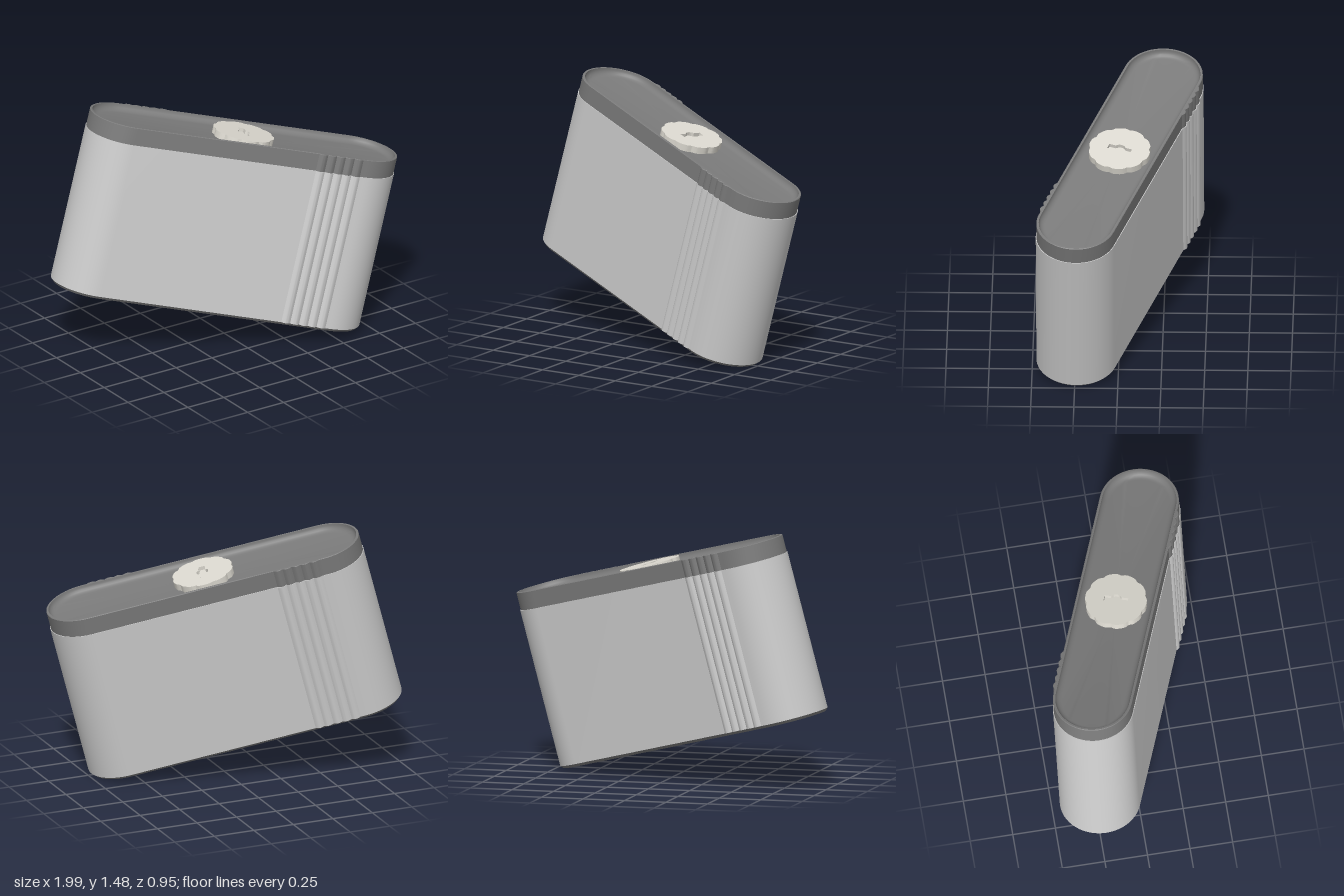
import * as THREE from 'three';
import { toCreasedNormals } from 'three/addons/utils/BufferGeometryUtils.js';

const R = 0.235;          // radius of the rounded ends
const A = 0.703;          // half length of the straight sides
const H = 1.055;          // total height
const RIB_START = 0.676, RIB_WIDTH = 0.054, RIB_COUNT = 5, RIB_HEIGHT = 0.013;

// Stadium outline with a group of half-round ribs on each long side
function outline(inset, ribs) {
  const half = [];
  for (let i = 0; i <= 28; i++) {
    const t = -Math.PI / 2 + Math.PI * i / 28;
    half.push([A + (R - inset) * Math.cos(t), (R - inset) * Math.sin(t)]);
  }
  const steps = 8;
  for (let i = 0; i <= RIB_COUNT * steps; i++) {
    const bump = RIB_HEIGHT * ribs * Math.abs(Math.sin(Math.PI * i / steps));
    half.push([RIB_START - RIB_WIDTH * i / steps, R - inset + bump]);
  }
  return half.concat(half.map(([x, z]) => [-x, -z]));
}

// Skin over rings given as [height, inset, rib strength]
function loft(rings, capStart, capEnd) {
  const loops = rings.map(([y, inset, ribs]) =>
    outline(inset, ribs).map(([x, z]) => [x, y, z]));
  const n = loops[0].length;
  const pos = [];
  const tri = (a, b, c) => pos.push(...a, ...b, ...c);
  for (let k = 0; k < loops.length - 1; k++) {
    const lo = loops[k], hi = loops[k + 1];
    for (let i = 0; i < n; i++) {
      const j = (i + 1) % n;
      tri(lo[i], hi[i], lo[j]);
      tri(lo[j], hi[i], hi[j]);
    }
  }
  const cap = (loop, up) => {
    const c = [0, loop[0][1], 0];
    for (let i = 0; i < n; i++) {
      const j = (i + 1) % n;
      up ? tri(c, loop[j], loop[i]) : tri(c, loop[i], loop[j]);
    }
  };
  if (capStart) cap(loops[0], false);
  if (capEnd) cap(loops[loops.length - 1], true);
  const g = new THREE.BufferGeometry();
  g.setAttribute('position', new THREE.Float32BufferAttribute(pos, 3));
  return toCreasedNormals(g, 0.55);
}

function part(name, geometry, color) {
  const mesh = new THREE.Mesh(geometry, new THREE.MeshStandardMaterial({ color }));
  mesh.name = name;
  return mesh;
}

// Round knob outline with shallow finger notches
function knobShape() {
  const pts = [];
  for (let i = 0; i < 120; i++) {
    const t = 2 * Math.PI * i / 120;
    const r = 0.18 - 0.009 * Math.abs(Math.cos(5 * t)) ** 8;
    pts.push(new THREE.Vector2(r * Math.cos(t), r * Math.sin(t)));
  }
  return new THREE.Shape(pts);
}

// Round hole with a slot running across it
function slotPath() {
  const r = 0.035, w = 0.019, l = 0.07, a = Math.acos(w / r);
  const path = new THREE.Path();
  path.moveTo(w, l);
  path.lineTo(-w, l);
  path.absarc(0, 0, r, Math.PI - a, Math.PI + a, false);
  path.lineTo(-w, -l);
  path.lineTo(w, -l);
  path.absarc(0, 0, r, -a, a, false);
  path.closePath();
  return path;
}

function slab(shape, depth, y) {
  const g = new THREE.ExtrudeGeometry(shape, { depth, bevelEnabled: false, curveSegments: 16 });
  g.rotateX(-Math.PI / 2);
  g.translate(0, y, 0);
  return toCreasedNormals(g, 0.4);
}

export function createModel() {
  const dark = 0x7a7a7a, light = 0xdcd9d0;
  const canister = new THREE.Group();
  canister.name = 'canister';

  // Base plate with a small chamfer
  canister.add(part('base', loft([[0, 0.014, 0], [0.016, 0, 0]], true, false), dark));

  // Ribbed body
  canister.add(part('body', loft([[0.016, 0, 0], [0.016, 0, 1], [0.95, 0, 1], [0.95, 0.01, 1]], false, false), 0xcccccc));

  // Lid with a lip and a dished recess
  const floor = 1.015;
  const lid = [[0.95, 0.004, 1], [H - 0.003, 0.004, 1], [H, 0.008, 1], [H, 0.018, 0]];
  for (let i = 1; i <= 6; i++) {
    const t = Math.PI / 2 * i / 6;
    lid.push([H - (H - floor) * Math.sin(t), 0.018 + 0.04 * (1 - Math.cos(t)), 0]);
  }
  canister.add(part('lid', loft(lid, false, true), dark));

  // Notched knob with a slotted recess
  const knob = new THREE.Group();
  knob.name = 'knob';
  const top = knobShape();
  top.holes.push(slotPath());
  knob.add(part('knobBase', slab(knobShape(), 0.02, floor - 0.002), light));
  knob.add(part('knobTop', slab(top, 0.022, floor + 0.018), light));
  canister.add(knob);

  // Turned about its own axis, then leaning sideways
  canister.rotation.y = THREE.MathUtils.degToRad(-20);
  const lean = new THREE.Group();
  lean.name = 'leaningCanister';
  lean.add(canister);
  lean.rotation.z = THREE.MathUtils.degToRad(-15);
  lean.position.set(-0.136, 0.228, 0);

  const model = new THREE.Group();
  model.name = 'model';
  model.add(lean);
  return model;
}
